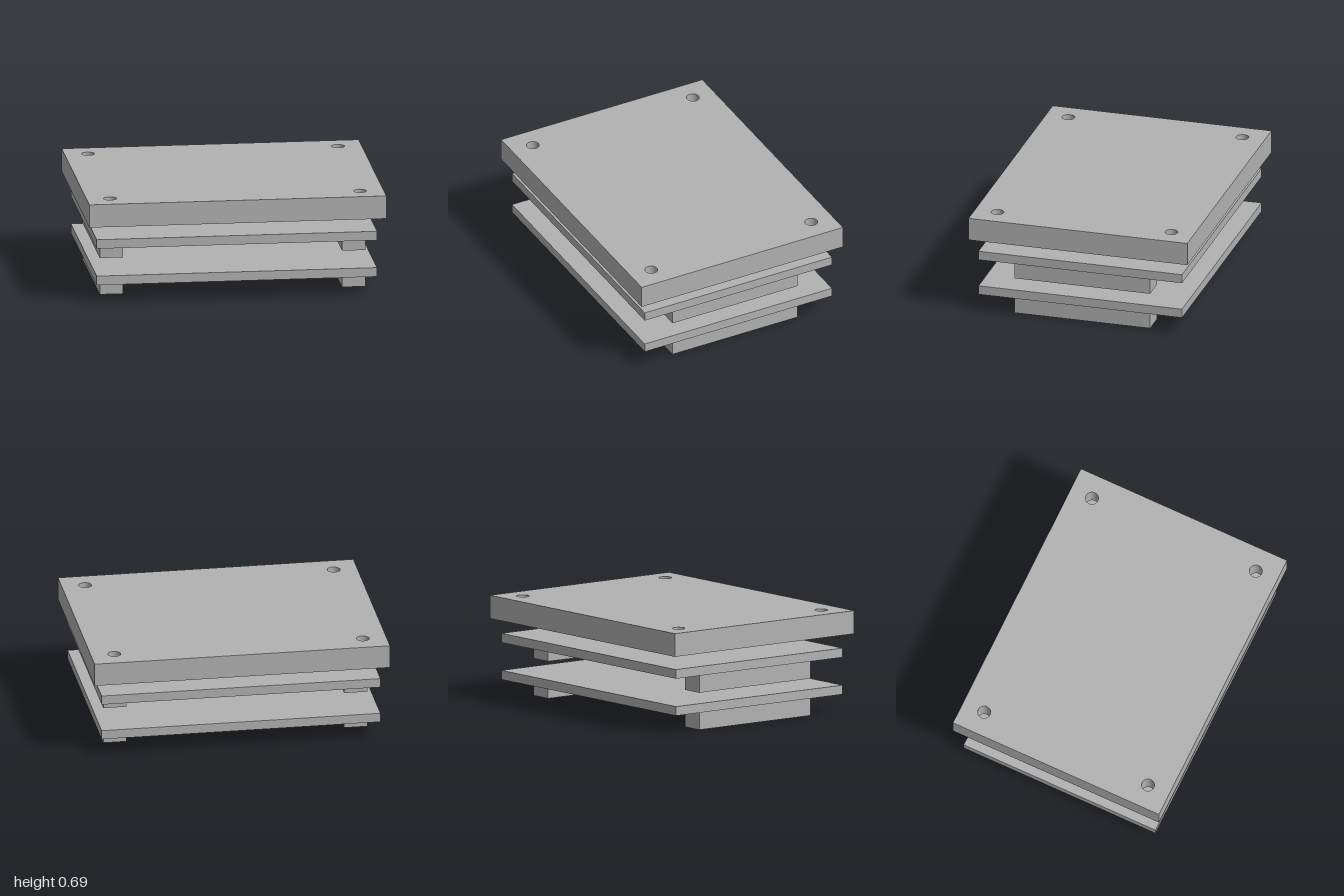
import * as THREE from 'three';

export function createModel() {
  const model = new THREE.Group();
  model.name = 'boardStack';
  const grey = new THREE.MeshStandardMaterial({ color: 0xb2b2b2 });
  grey.name = 'plain grey';

  // Box given by its size, bottom and top heights, and x position
  function addBox(parent, name, width, depth, bottom, top, x = 0) {
    const mesh = new THREE.Mesh(new THREE.BoxGeometry(width, top - bottom, depth), grey);
    mesh.position.set(x, (bottom + top) / 2, 0);
    mesh.name = name;
    parent.add(mesh);
  }

  // Thick top plate with a through hole near each corner
  const outline = new THREE.Shape([
    new THREE.Vector2(-1, -0.762), new THREE.Vector2(1, -0.762),
    new THREE.Vector2(1, 0.762), new THREE.Vector2(-1, 0.762),
  ]);
  for (const x of [-0.842, 0.842]) {
    for (const z of [-0.606, 0.606]) {
      outline.holes.push(new THREE.Path().absarc(x, z, 0.043, 0, Math.PI * 2, true));
    }
  }
  const plateGeometry = new THREE.ExtrudeGeometry(outline, {
    depth: 0.157, bevelEnabled: false, curveSegments: 24,
  });
  plateGeometry.rotateX(-Math.PI / 2);
  const plate = new THREE.Mesh(plateGeometry, grey);
  plate.position.y = 0.538;
  plate.name = 'topPlate';
  model.add(plate);

  // Two identical boards, each with a chip and two connectors beneath
  ['lower', 'upper'].forEach((level, i) => {
    const board = new THREE.Group();
    board.name = level + 'BoardAssembly';
    board.position.y = i * 0.251;
    addBox(board, level + 'Board', 1.888, 1.418, 0.126, 0.188);
    addBox(board, level + 'Chip', 0.63, 0.63, 0.048, 0.119);
    addBox(board, level + 'LeftConnector', 0.157, 0.945, 0, 0.119, 0.816);
    addBox(board, level + 'RightConnector', 0.157, 0.945, 0, 0.119, -0.816);
    model.add(board);
  });

  return model;
}
